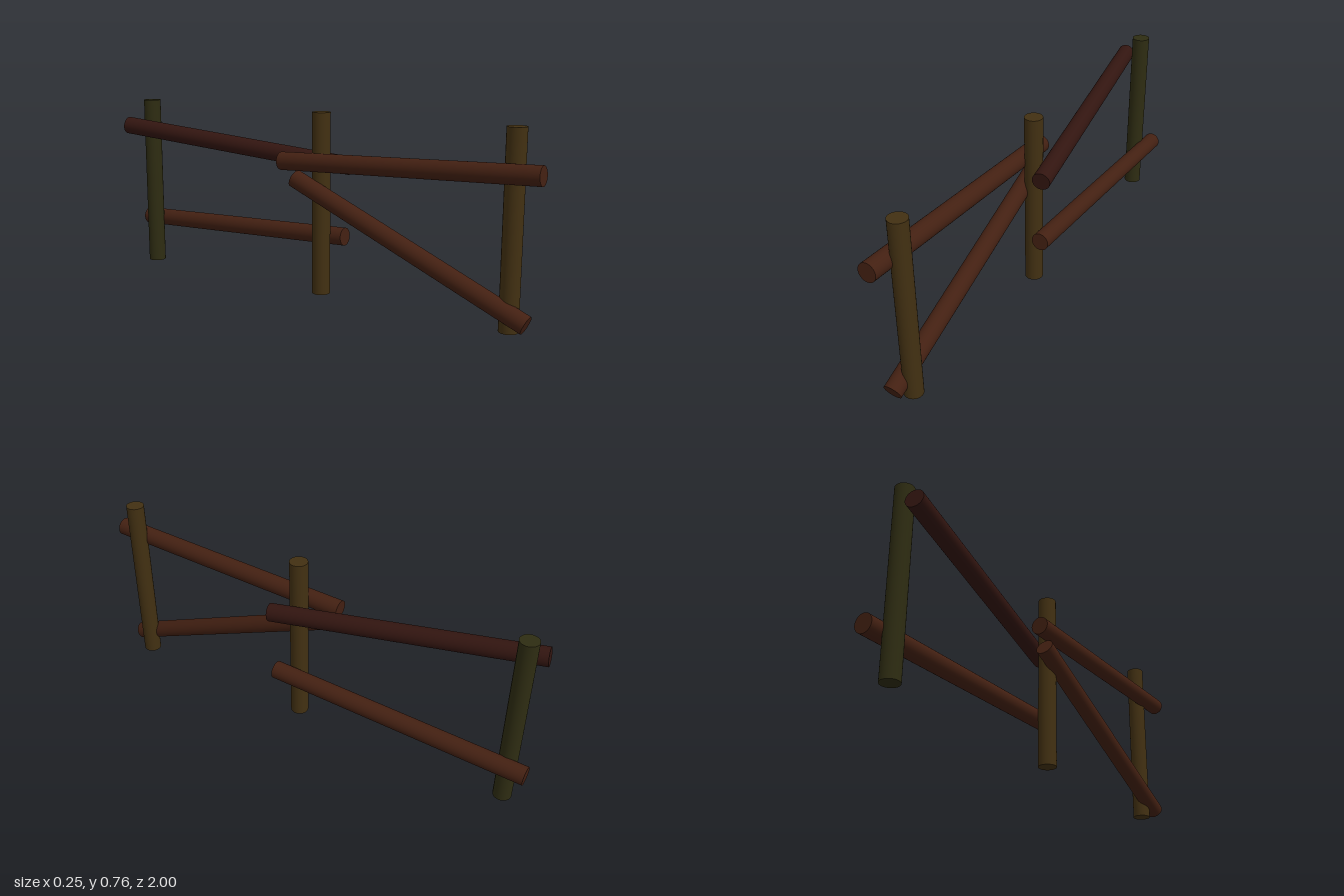
import * as THREE from 'three';

const RADIUS = 0.0375;
const UP = new THREE.Vector3(0, 1, 0);

// Round log running between two end centres
function log(name, from, to, color) {
  const a = new THREE.Vector3(...from);
  const b = new THREE.Vector3(...to);
  const axis = b.clone().sub(a);
  const mesh = new THREE.Mesh(
    new THREE.CylinderGeometry(RADIUS, RADIUS, axis.length(), 32),
    new THREE.MeshStandardMaterial({ color })
  );
  mesh.name = name;
  mesh.position.copy(a).add(b).multiplyScalar(0.5);
  mesh.quaternion.setFromUnitVectors(UP, axis.normalize());
  return mesh;
}

export function createModel() {
  const fence = new THREE.Group();
  fence.name = 'fence';

  // Upright posts
  const posts = [
    ['frontPost', 0.877, 0x423012],
    ['middlePost', 0.042, 0x423012],
    ['backPost', -0.907, 0x2e2c12],
  ];
  for (const [name, z, color] of posts) {
    fence.add(log(name, [0.005, 0, z], [0.005, 0.756, z], color));
  }

  // Rails: the front lower one has fallen, the back upper one crosses the line of posts
  const rails = [
    ['frontUpperRail', [-0.039, 0.597, 0.999], [-0.056, 0.551, -0.115], 0x432012],
    ['frontFallenRail', [-0.026, 0.047, 0.956], [-0.043, 0.482, -0.057], 0x432012],
    ['backUpperRail', [0.089, 0.533, 0.127], [-0.092, 0.644, -0.963], 0x321510],
    ['backLowerRail', [0.076, 0.236, 0.113], [0.057, 0.191, -0.998], 0x432012],
  ];
  for (const [name, from, to, color] of rails) fence.add(log(name, from, to, color));

  return fence;
}
